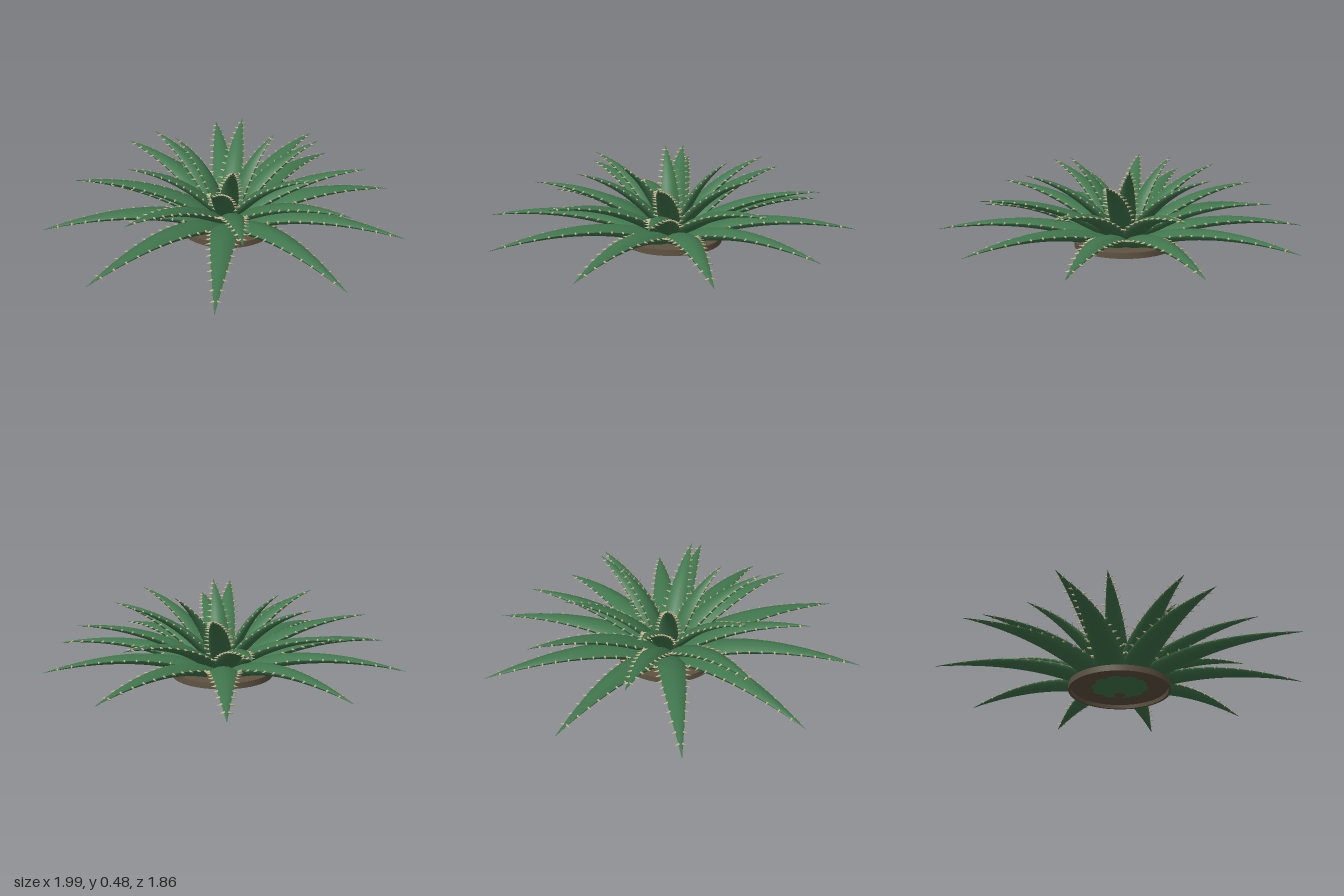
import * as THREE from 'three';
import { mergeGeometries } from 'three/addons/utils/BufferGeometryUtils.js';

const leafGreen = new THREE.MeshStandardMaterial({ color: 0x41774e });
const thornTan = new THREE.MeshStandardMaterial({ color: 0xcbb68e });
const soilBrown = new THREE.MeshStandardMaterial({ color: 0x605442 });
const stemBrown = new THREE.MeshStandardMaterial({ color: 0x6e5a45 });
leafGreen.name = 'leafGreen';
thornTan.name = 'thornTan';
soilBrown.name = 'soilBrown';
stemBrown.name = 'stemBrown';

// Half width of a leaf: narrow base, widest at a quarter, pointed tip
function halfWidth(t, w) {
  if (t < 0.25) return w * (0.55 + 0.45 * Math.sin((t / 0.25) * Math.PI / 2));
  return Math.max(w * (1 - Math.pow((t - 0.25) / 0.75, 1.55)), 0.0008);
}

// Point on the leaf: t along the arc, u across (-1..1), rise above the edge line
function leafPoint(curve, t, u, w, rise) {
  const p = curve.getPoint(t), d = curve.getTangent(t), h = halfWidth(t, w);
  return new THREE.Vector3(p.x - d.y * rise * h, p.y + d.x * rise * h, u * h);
}

// One face of the leaf as a grid; section(u) gives its rise
function leafFace(curve, w, section, flip) {
  const rows = 20, cols = 8, pos = [], index = [];
  for (let i = 0; i <= rows; i++) {
    for (let j = 0; j <= cols; j++) {
      const u = -Math.cos((j / cols) * Math.PI);
      pos.push(...leafPoint(curve, i / rows, u, w, section(u)).toArray());
    }
  }
  for (let i = 0; i < rows; i++) {
    for (let j = 0; j < cols; j++) {
      const a = i * (cols + 1) + j, b = a + 1, c = a + cols + 1, d = c + 1;
      if (flip) index.push(a, c, b, b, c, d);
      else index.push(a, b, c, b, d, c);
    }
  }
  const g = new THREE.BufferGeometry();
  g.setAttribute('position', new THREE.Float32BufferAttribute(pos, 3));
  g.setIndex(index);
  g.computeVertexNormals();
  return g;
}

// Forward-leaning thorns along both edges
function thornGeometry(curve, w, count) {
  const parts = [], up = new THREE.Vector3(0, 1, 0);
  for (let k = 0; k < count; k++) {
    const t = 0.1 + 0.83 * (k / (count - 1));
    const tangent = curve.getTangent(t);
    const len = 0.033 - 0.012 * t;
    for (const side of [-1, 1]) {
      const dir = new THREE.Vector3(tangent.x * 0.3, tangent.y * 0.3, side).normalize();
      const cone = new THREE.ConeGeometry(0.0065, len, 5);
      cone.translate(0, len / 2 - 0.004, 0);
      cone.applyQuaternion(new THREE.Quaternion().setFromUnitVectors(up, dir));
      const p = leafPoint(curve, t, side, w, 0);
      cone.translate(p.x, p.y, p.z);
      parts.push(cone);
    }
  }
  return mergeGeometries(parts);
}

function makeLeaf(ring, length) {
  const [bx, by] = ring.base, [mx, my] = ring.mid;
  const curve = new THREE.QuadraticBezierCurve(
    new THREE.Vector2(bx, by),
    new THREE.Vector2(mx * length, my),
    new THREE.Vector2(length, ring.tipY));
  const arch = (u) => Math.sqrt(Math.max(0, 1 - u * u));
  const blade = mergeGeometries([
    leafFace(curve, ring.width, (u) => 0.36 * (1 - u * u), false),
    leafFace(curve, ring.width, (u) => -0.5 * arch(u), true),
  ]);
  const leaf = new THREE.Group();
  const bladeMesh = new THREE.Mesh(blade, leafGreen);
  bladeMesh.name = 'leafBlade';
  const thorns = new THREE.Mesh(thornGeometry(curve, ring.width, ring.thorns), thornTan);
  thorns.name = 'leafThorns';
  leaf.add(bladeMesh, thorns);
  return leaf;
}

// Rings from the low outer leaves to the steep heart leaves
const rings = [
  { name: 'outerLeaf', base: [0.02, 0.024], mid: [0.41, 0.24], tipY: 0.127, width: 0.076, thorns: 14, start: 0,
    lengths: [0.975, 0.95, 0.965, 0.995, 1.01, 1.018, 0.99, 0.962, 0.96, 0.995] },
  { name: 'middleLeaf', base: [0.025, 0.05], mid: [0.44, 0.315], tipY: 0.325, width: 0.064, thorns: 13, start: 0.5,
    lengths: [0.78, 0.755, 0.775, 0.76, 0.755, 0.79, 0.755, 0.79] },
  { name: 'innerLeaf', base: [0.03, 0.075], mid: [0.41, 0.36], tipY: 0.443, width: 0.058, thorns: 13, start: 30,
    lengths: [0.53, 0.54, 0.52, 0.54, 0.53, 0.54] },
  { name: 'heartLeaf', base: [0.03, 0.085], mid: [0.36, 0.355], tipY: 0.485, width: 0.052, thorns: 12, start: 16,
    lengths: [0.31, 0.33, 0.31] },
];

export function createModel() {
  const plant = new THREE.Group();
  plant.name = 'spikyRosettePlant';

  for (const ring of rings) {
    ring.lengths.forEach((length, i) => {
      const leaf = makeLeaf(ring, length);
      leaf.name = ring.name + (i + 1);
      const degrees = ring.start + (360 / ring.lengths.length) * i;
      leaf.rotation.y = -THREE.MathUtils.degToRad(degrees);
      plant.add(leaf);
    });
  }

  // Shallow soil disc, hollowed underneath within a thin rim
  const profile = [[0.001, 0.05], [0.255, 0.05], [0.255, 0.05], [0.258, 0.03], [0.258, 0.03],
    [0.27, 0.03], [0.27, 0.03], [0.27, 0.062], [0.27, 0.062], [0.001, 0.062]];
  const soil = new THREE.Mesh(
    new THREE.LatheGeometry(profile.map(([x, y]) => new THREE.Vector2(x, y)), 48), soilBrown);
  soil.name = 'soilDisc';

  // Short stem in the heart of the rosette
  const stemGeometry = new THREE.CylinderGeometry(0.035, 0.035, 0.09, 20);
  stemGeometry.translate(0, 0.095, 0);
  const stem = new THREE.Mesh(stemGeometry, stemBrown);
  stem.name = 'stem';
  plant.add(soil, stem);

  plant.position.set(0.02, 0, -0.015);
  const model = new THREE.Group();
  model.name = 'plant';
  model.add(plant);
  return model;
}
